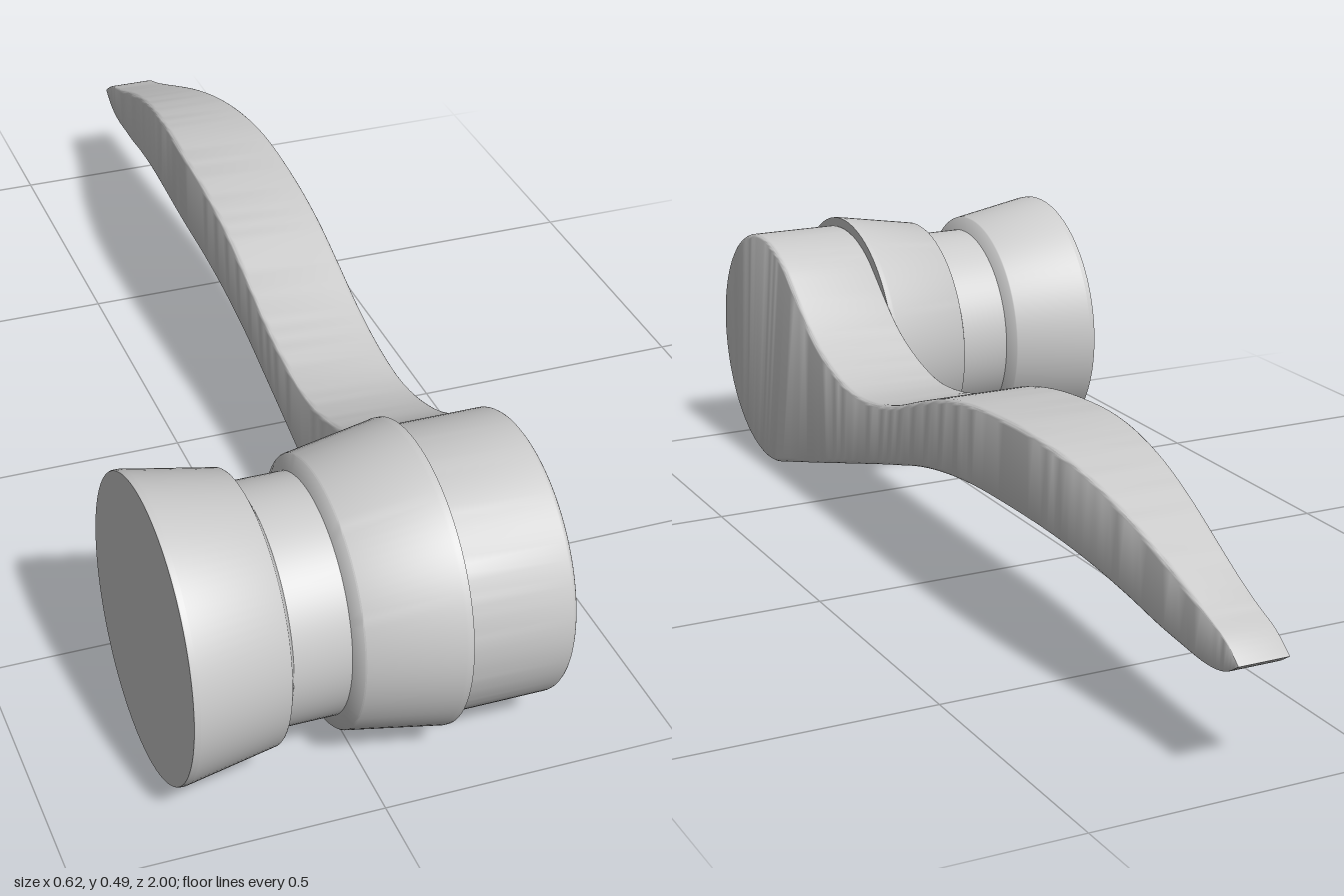
import * as THREE from 'three';
import { toCreasedNormals } from 'three/addons/utils/BufferGeometryUtils.js';

const HUB = { z: 0.755, y: 0.245, r: 0.229 };

// Arc round the hub from its front point, followed by a smooth curve to the tip
function edge(endDegrees, zs, ys) {
  const pts = [];
  const steps = 40;
  const at = (a) => new THREE.Vector2(HUB.z + HUB.r * Math.cos(a), HUB.y + HUB.r * Math.sin(a));
  for (let i = 0; i <= steps; i++) pts.push(at(THREE.MathUtils.degToRad(endDegrees * i / steps)));
  const knots = [pts[steps], ...zs.map((z, i) => new THREE.Vector2(z, ys[i]))];
  return pts.concat(new THREE.SplineCurve(knots).getPoints(zs.length * 5).slice(1));
}

// Lever: side outline swept across its width, narrowing to the tip, with softly rounded rims
function leverGeometry() {
  const zs = [0.5, 0.4, 0.3, 0.2, 0.1, 0, -0.1, -0.2, -0.3, -0.4, -0.5, -0.6, -0.7, -0.8, -0.9, -0.96, -1];
  const top = edge(131, zs, [0.337, 0.293, 0.273, 0.279, 0.301, 0.335, 0.366, 0.385, 0.394, 0.397,
    0.389, 0.37, 0.339, 0.299, 0.256, 0.232, 0.203]);
  const bottom = edge(-105, zs, [0.078, 0.106, 0.134, 0.162, 0.189, 0.215, 0.233, 0.244, 0.249, 0.249,
    0.243, 0.23, 0.21, 0.187, 0.174, 0.181, 0.203]);
  const n = top.length - 1;
  const loop = top.concat(bottom.slice(1, n).reverse());
  const count = loop.length;

  // Rows across the width: [side, rounding angle]
  const rows = [];
  for (let i = 0; i <= 4; i++) rows.push([-1, (1 - i / 4) * Math.PI / 2]);
  for (let i = 0; i <= 4; i++) rows.push([1, (i / 4) * Math.PI / 2]);

  const positions = [];
  for (const [side, angle] of rows) {
    loop.forEach((p, j) => {
      const before = loop[(j + count - 1) % count], after = loop[(j + 1) % count];
      const along = after.clone().sub(before).normalize();
      const round = 0.009 * THREE.MathUtils.clamp((p.x + 1) / 0.15, 0, 1);
      const inset = round * (1 - Math.cos(angle));
      const half = 0.043 + 0.047 * THREE.MathUtils.smoothstep(p.x, -1, -0.3)
        - round * (1 - Math.sin(angle));
      positions.push(0.218 + side * half, p.y + along.x * inset, p.x - along.y * inset);
    });
  }

  const index = [];
  for (let k = 0; k < rows.length - 1; k++) {
    for (let j = 0; j < count; j++) {
      const a = k * count + j, b = k * count + (j + 1) % count;
      index.push(a, a + count, b, b, a + count, b + count);
    }
  }
  // Flat side faces, as strips between the upper and lower edges
  const last = (rows.length - 1) * count;
  for (let i = 0; i < n; i++) {
    const t0 = i, t1 = i + 1, b0 = (count - i) % count, b1 = count - i - 1;
    for (const [p, q, r] of [[t0, b0, t1], [t1, b0, b1]]) {
      if (p === q || q === r || p === r) continue;
      index.push(last + p, last + q, last + r, p, r, q);
    }
  }
  const geometry = new THREE.BufferGeometry();
  geometry.setAttribute('position', new THREE.Float32BufferAttribute(positions, 3));
  geometry.setIndex(index);
  return toCreasedNormals(geometry, 0.6);
}

// Rosette: grooved round base, turned about the x axis
function rosetteGeometry() {
  const profile = [[0, -0.31], [0.244, -0.31], [0.245, -0.308], [0.245, -0.3], [0.2185, -0.15], [0.217, -0.148],
    [0.193, -0.137], [0.193, -0.044], [0.217, -0.033], [0.2185, -0.031],
    [0.244, 0.118], [0.245, 0.122], [0.245, 0.13], [0, 0.13]];
  const geometry = new THREE.LatheGeometry(profile.map(([r, x]) => new THREE.Vector2(r, x)), 96);
  geometry.rotateZ(-Math.PI / 2);
  geometry.translate(0, HUB.y, HUB.z);
  return toCreasedNormals(geometry, 0.5);
}

export function createModel() {
  const group = new THREE.Group();
  group.name = 'doorHandle';
  const material = new THREE.MeshStandardMaterial({ color: 0xcccccc });
  const add = (name, geometry) => {
    const mesh = new THREE.Mesh(geometry, material);
    mesh.name = name;
    group.add(mesh);
  };
  add('rosette', rosetteGeometry());
  add('lever', leverGeometry());
  return group;
}
